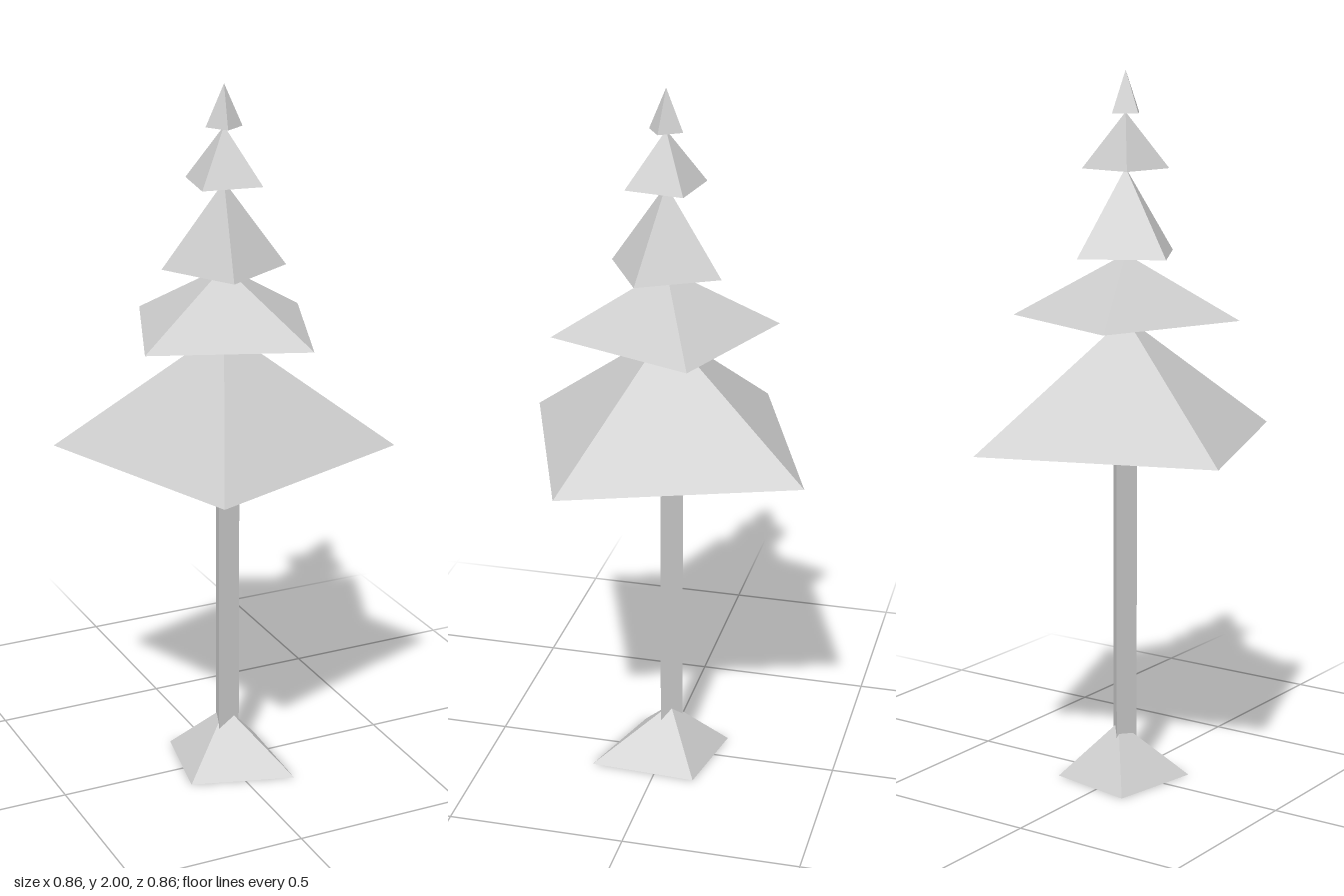
import * as THREE from 'three';
import { ConvexGeometry } from 'three/addons/geometries/ConvexGeometry.js';

const material = new THREE.MeshStandardMaterial({ color: 0xcccccc, flatShading: true });

function addPart(parent, name, geometry, x = 0, y = 0, z = 0) {
  const mesh = new THREE.Mesh(geometry, material);
  mesh.name = name;
  mesh.position.set(x, y, z);
  parent.add(mesh);
}

export function createModel() {
  const tree = new THREE.Group();
  tree.name = 'tree';

  // Foliage: stacked four-sided pyramids, each [bottom, top, corner x, corner z]
  const foliage = new THREE.Group();
  foliage.name = 'foliage';
  tree.add(foliage);
  const tiers = [
    [0.985, 1.327, 0.43, 0.2],
    [1.325, 1.502, 0.29, -0.128],
    [1.5, 1.737, 0.164, 0.047],
    [1.735, 1.887, 0.096, -0.07],
    [1.885, 2.0, 0.049, 0.011],
  ];
  tiers.forEach(([bottom, top, x, z], i) => {
    const cone = new THREE.ConeGeometry(Math.hypot(x, z), top - bottom, 4, 1, false, Math.atan2(x, z));
    addPart(foliage, `foliageTier${i + 1}`, cone, 0, (bottom + top) / 2, 0);
  });

  // Trunk: slim three-sided prism
  const trunk = new THREE.CylinderGeometry(0.0413, 0.0413, 0.95, 3, 1, false, Math.atan2(-0.031, 0.028));
  addPart(tree, 'trunk', trunk, 0.006, 0.525, -0.008);

  // Root mound: uneven four-sided pyramid
  const mound = new ConvexGeometry([
    new THREE.Vector3(-0.15, 0, 0.1),
    new THREE.Vector3(0.136, 0, 0.187),
    new THREE.Vector3(0.152, 0, -0.117),
    new THREE.Vector3(-0.1, 0, -0.165),
    new THREE.Vector3(0.013, 0.16, -0.017),
  ]);
  addPart(tree, 'rootMound', mound);

  return tree;
}
